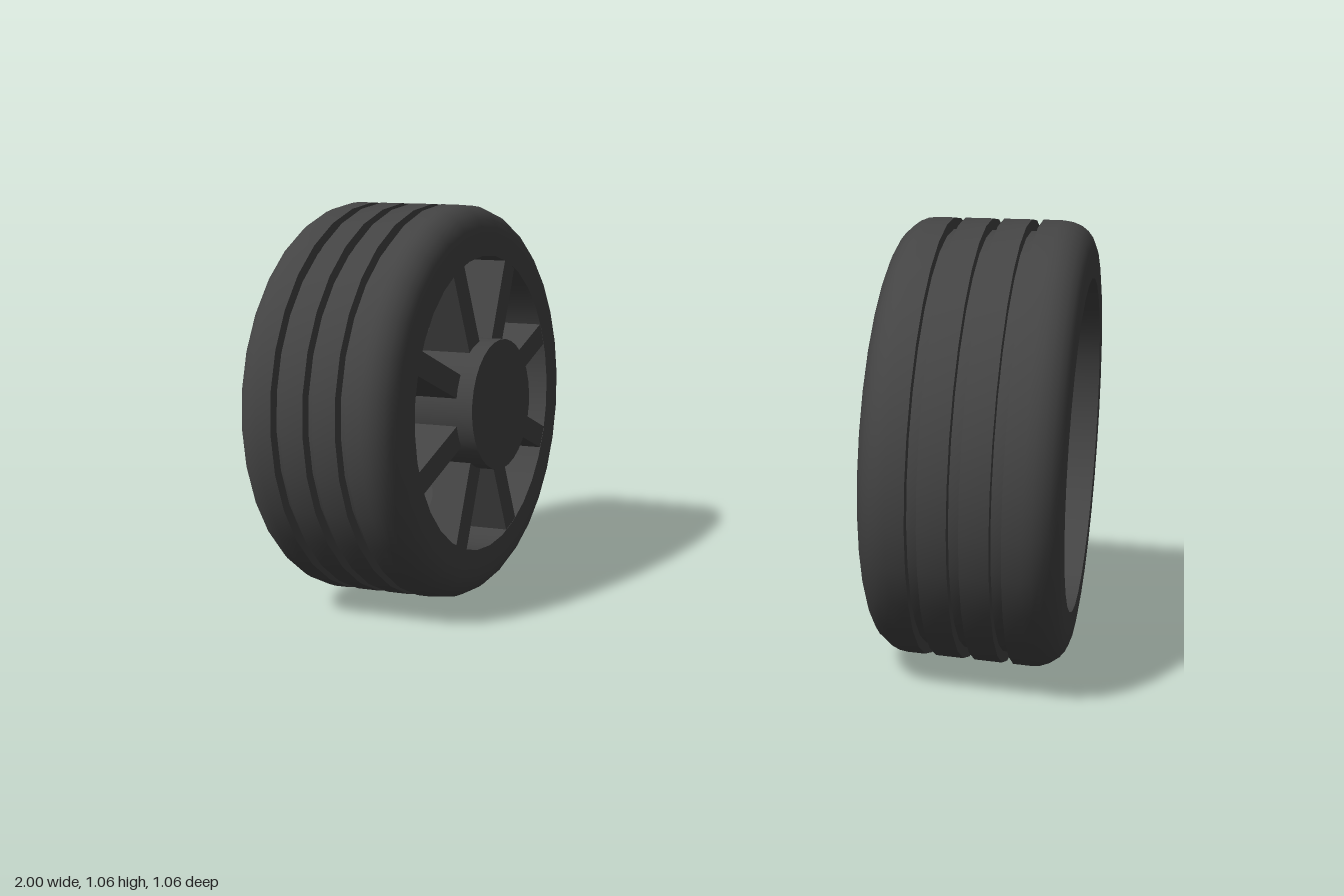
import * as THREE from 'three';
import { toCreasedNormals } from 'three/addons/utils/BufferGeometryUtils.js';

const RADIUS = 0.528, BORE = 0.395, INNER = 0.56, OUTER = 1.0;
const SIDES = 32, SPOKES = 8;
const rubber = new THREE.MeshStandardMaterial({ color: 0x444444 });
rubber.name = 'darkGrey';

function makeMesh(name, geometry) {
  const mesh = new THREE.Mesh(toCreasedNormals(geometry, 0.6), rubber);
  mesh.name = name;
  return mesh;
}

// Spins an [x, radius] profile about the x axis
function spin(profile) {
  const points = profile.map(([x, r]) => new THREE.Vector2(r, x));
  return new THREE.LatheGeometry(points, SIDES).rotateZ(-Math.PI / 2);
}

// Tyre with rounded shoulders, three tread grooves and an open bore
function tyreGeometry() {
  const round = 0.075, steps = 6, profile = [[INNER, BORE]];
  for (let i = 0; i <= steps; i++) {
    const a = (i / steps) * Math.PI / 2;
    profile.push([INNER + round * (1 - Math.cos(a)), RADIUS - round * (1 - Math.sin(a))]);
  }
  for (const x of [0.69, 0.78, 0.87]) {
    const a = x - 0.013, b = x + 0.013, floor = RADIUS - 0.027;
    profile.push([a, RADIUS], [a, floor], [b, floor], [b, RADIUS]);
  }
  for (let i = steps; i >= 0; i--) {
    const a = (i / steps) * Math.PI / 2;
    profile.push([OUTER - round * (1 - Math.cos(a)), RADIUS - round * (1 - Math.sin(a))]);
  }
  profile.push([OUTER, BORE], [INNER, BORE]);
  return spin(profile);
}

// Spoke: flat inner face, hollowed outer face sweeping up to hub and rim
function spokeGeometry() {
  const width = 0.063;
  const shape = new THREE.Shape();
  shape.moveTo(INNER + 0.001, 0.15);
  shape.lineTo(0.82, 0.15);
  shape.lineTo(0.82, 0.172);
  shape.splineThru([
    [0.73, 0.19], [0.67, 0.23], [0.655, 0.28], [0.685, 0.33], [0.77, 0.37], [0.86, 0.388], [0.94, 0.396],
  ].map(([x, r]) => new THREE.Vector2(x, r)));
  shape.lineTo(0.94, 0.405);
  shape.lineTo(INNER + 0.001, 0.405);
  shape.closePath();
  return new THREE.ExtrudeGeometry(shape, { depth: width, bevelEnabled: false, curveSegments: 3 })
    .translate(0, 0, -width / 2);
}

// One wheel lying on the +x side
function createWheel(name, phase) {
  const wheel = new THREE.Group();
  wheel.name = name;
  wheel.add(makeMesh('tyre', tyreGeometry()));

  // Hub projecting past the inner face, chamfered on the outer end
  wheel.add(makeMesh('hub', spin([[0.515, 0], [0.515, 0.175], [0.84, 0.175], [0.9, 0.132], [0.9, 0]])));

  for (let i = 0; i < SPOKES; i++) {
    const spoke = makeMesh('spoke', spokeGeometry());
    spoke.rotation.x = phase + (i / SPOKES) * Math.PI * 2;
    wheel.add(spoke);
  }
  wheel.position.y = RADIUS;
  return wheel;
}

export function createModel() {
  const model = new THREE.Group();
  model.name = 'wheelPair';
  const phase = THREE.MathUtils.degToRad(20);
  const left = createWheel('leftWheel', phase);
  const right = createWheel('rightWheel', -phase);
  right.rotation.y = Math.PI;
  model.add(left, right);
  return model;
}
